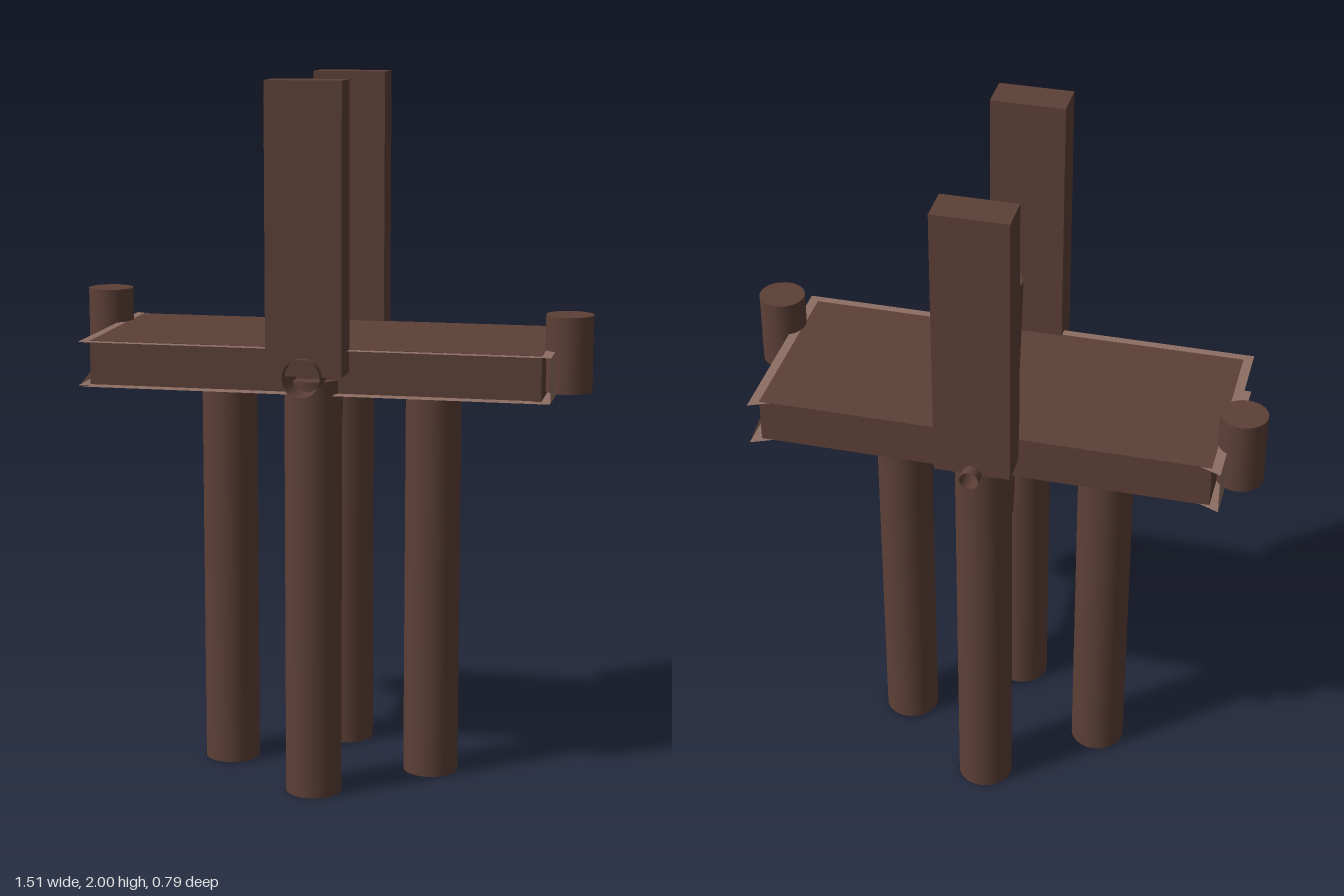
import * as THREE from 'three';

export function createModel() {
  const model = new THREE.Group();
  const dark = new THREE.MeshStandardMaterial({ color: 0x5d4037 });
  dark.name = 'dark wood';
  const darkOpen = new THREE.MeshStandardMaterial({ color: 0x5d4037, side: THREE.DoubleSide });
  darkOpen.name = 'dark wood open tube';
  const light = new THREE.MeshStandardMaterial({ color: 0x8d6e63, side: THREE.DoubleSide });
  light.name = 'light wood trim';

  function add(name, geometry, material, x = 0, y = 0, z = 0) {
    const mesh = new THREE.Mesh(geometry, material);
    mesh.name = name;
    mesh.position.set(x, y, z);
    model.add(mesh);
    return mesh;
  }

  // Platform
  add('platform', new THREE.BoxGeometry(1.26, 0.125, 0.525), dark, 0, 1.2125, 0);

  // Four legs in a diamond
  const leg = new THREE.CylinderGeometry(0.079, 0.079, 1.19, 32);
  for (const [x, z] of [[-0.297, 0], [0.297, 0], [0, -0.237], [0, 0.237]]) {
    add('leg', leg, dark, x, 0.595, z);
  }

  // Upright posts at front and back
  for (const s of [-1, 1]) {
    add(s > 0 ? 'frontPost' : 'backPost', new THREE.BoxGeometry(0.21, 0.787, 0.105), dark, 0, 1.6065, s * 0.31);
  }

  // Short side pegs, offset diagonally
  for (const s of [-1, 1]) {
    add('sidePeg', new THREE.CylinderGeometry(0.065, 0.065, 0.21, 32), dark, s * 0.69, 1.265, s * 0.132);
  }

  // Open tapered tubes, one upright and one running front to back
  const tube = new THREE.CylinderGeometry(0.052, 0.026, 0.79, 32, 1, true);
  add('uprightTube', tube, darkOpen, 0, 1.211, 0);
  add('crossTube', tube, darkOpen, 0, 1.213, 0).rotation.x = Math.PI / 2;

  // Thin trim sheets: overlapping triangles above, below and at both ends
  const X = 0.657, Z = 0.288, top = 1.274, bottom = 1.149;
  function triangle(name, ...corners) {
    const g = new THREE.BufferGeometry().setFromPoints(corners.map((c) => new THREE.Vector3(...c)));
    g.computeVertexNormals();
    add(name, g, light);
  }
  for (const s of [-1, 1]) {
    triangle('topTrim', [-X, top, Z], [X, top, Z], [s * X, top, -Z]);
    const y = s > 0 ? bottom : bottom + 0.003;
    triangle('bottomTrim', [X, y, Z], [-X, y, Z], [s * X, y, -Z]);
    triangle('endTrim', [s * X, bottom, s * Z], [s * X, bottom, -s * Z], [s * X, top, s * Z]);
  }
  return model;
}
